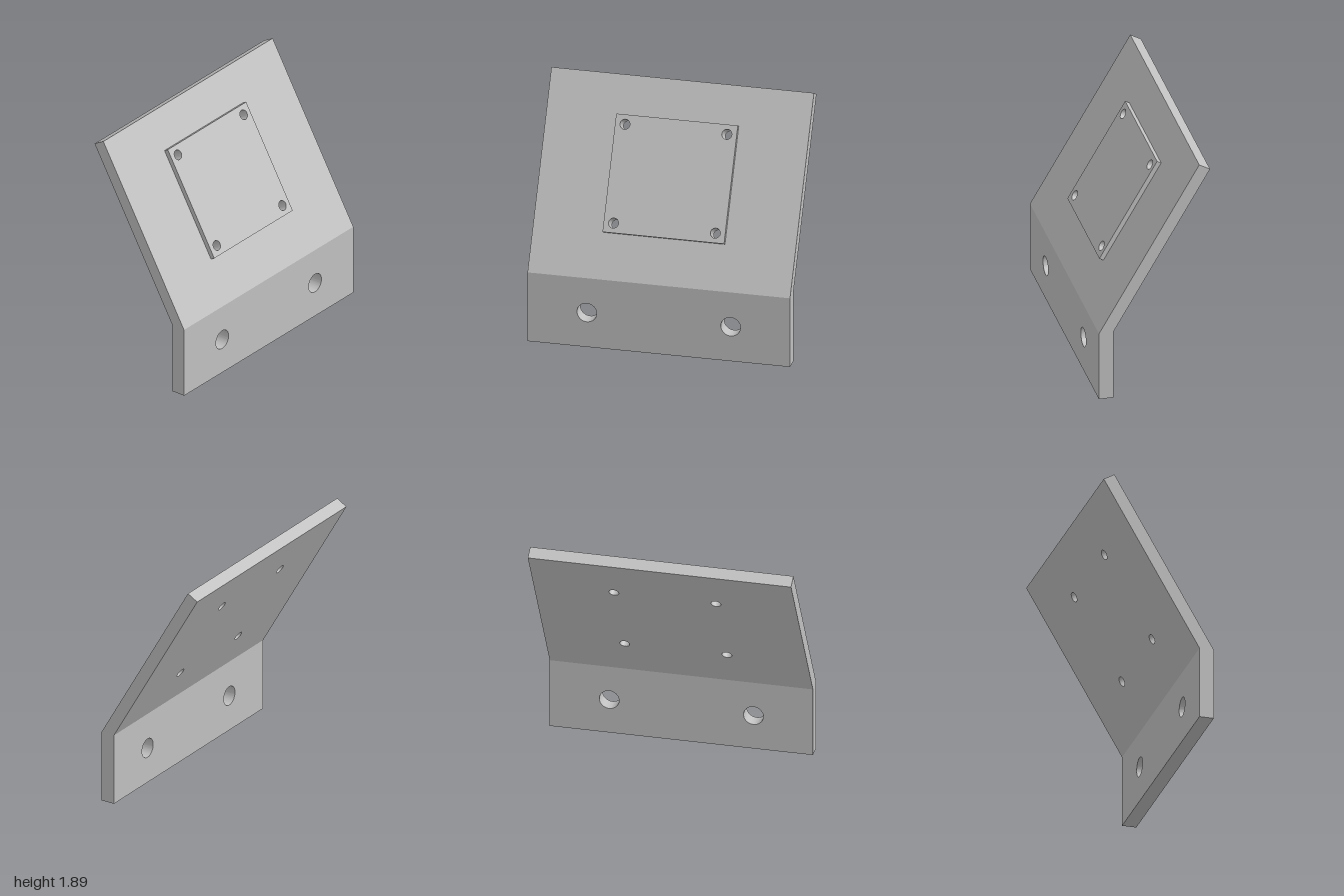
import * as THREE from 'three';
import { toCreasedNormals } from 'three/addons/utils/BufferGeometryUtils.js';

const TILT = Math.PI / 6;
const BEND_Y = 0.56, FRONT_Z = 0.426;
const BASE_DEPTH = 0.11;
const PANEL_DEPTH = BASE_DEPTH * Math.cos(TILT);
const PANEL_LENGTH = 1.538, PAD_DEPTH = 0.036;

// Rectangular plate with round through holes; its back lies at z = 0
function plate(halfWidth, y0, y1, depth, holes, radius) {
  const shape = new THREE.Shape([
    new THREE.Vector2(-halfWidth, y0), new THREE.Vector2(halfWidth, y0),
    new THREE.Vector2(halfWidth, y1), new THREE.Vector2(-halfWidth, y1),
  ]);
  for (const [x, y] of holes) {
    shape.holes.push(new THREE.Path().absarc(x, y, radius, 0, Math.PI * 2, true));
  }
  return new THREE.ExtrudeGeometry(shape, { depth, bevelEnabled: false, curveSegments: 32 });
}

export function createModel() {
  const model = new THREE.Group();
  model.name = 'angledBracket';
  const grey = new THREE.MeshStandardMaterial({ color: 0xc0c0c0 });
  grey.name = 'light grey';

  const add = (parent, name, geometry) => {
    const mesh = new THREE.Mesh(toCreasedNormals(geometry, 0.5), grey);
    mesh.name = name;
    parent.add(mesh);
  };

  // Upright base plate with two large mounting holes
  const base = plate(1, 0, BEND_Y, BASE_DEPTH, [[-0.548, 0.28], [0.548, 0.28]], 0.075);
  base.translate(0, 0, FRONT_Z - BASE_DEPTH);
  add(model, 'basePlate', base);

  // Leaning upper part, hinged at the front edge of the bend
  const upper = new THREE.Group();
  upper.name = 'leaningPanel';
  upper.position.set(0, BEND_Y, FRONT_Z);
  upper.rotation.x = -TILT;
  model.add(upper);

  const screwHoles = [];
  for (const x of [-0.388, 0.388]) for (const y of [0.425, 1.165]) screwHoles.push([x, y]);

  // Main panel, with its lower back edge mitred to meet the base plate
  const panel = plate(1, 0, PANEL_LENGTH, PANEL_DEPTH, screwHoles, 0.0375);
  panel.translate(0, 0, -PANEL_DEPTH);
  const pos = panel.attributes.position;
  for (let i = 0; i < pos.count; i++) {
    if (pos.getY(i) < 0.001 && pos.getZ(i) < -0.001) pos.setY(i, BASE_DEPTH * Math.sin(TILT));
  }
  add(upper, 'panelPlate', panel);

  // Raised pad sharing the four screw holes
  add(upper, 'raisedPad', plate(0.463, 0.352, 1.238, PAD_DEPTH, screwHoles, 0.0375));

  return model;
}
